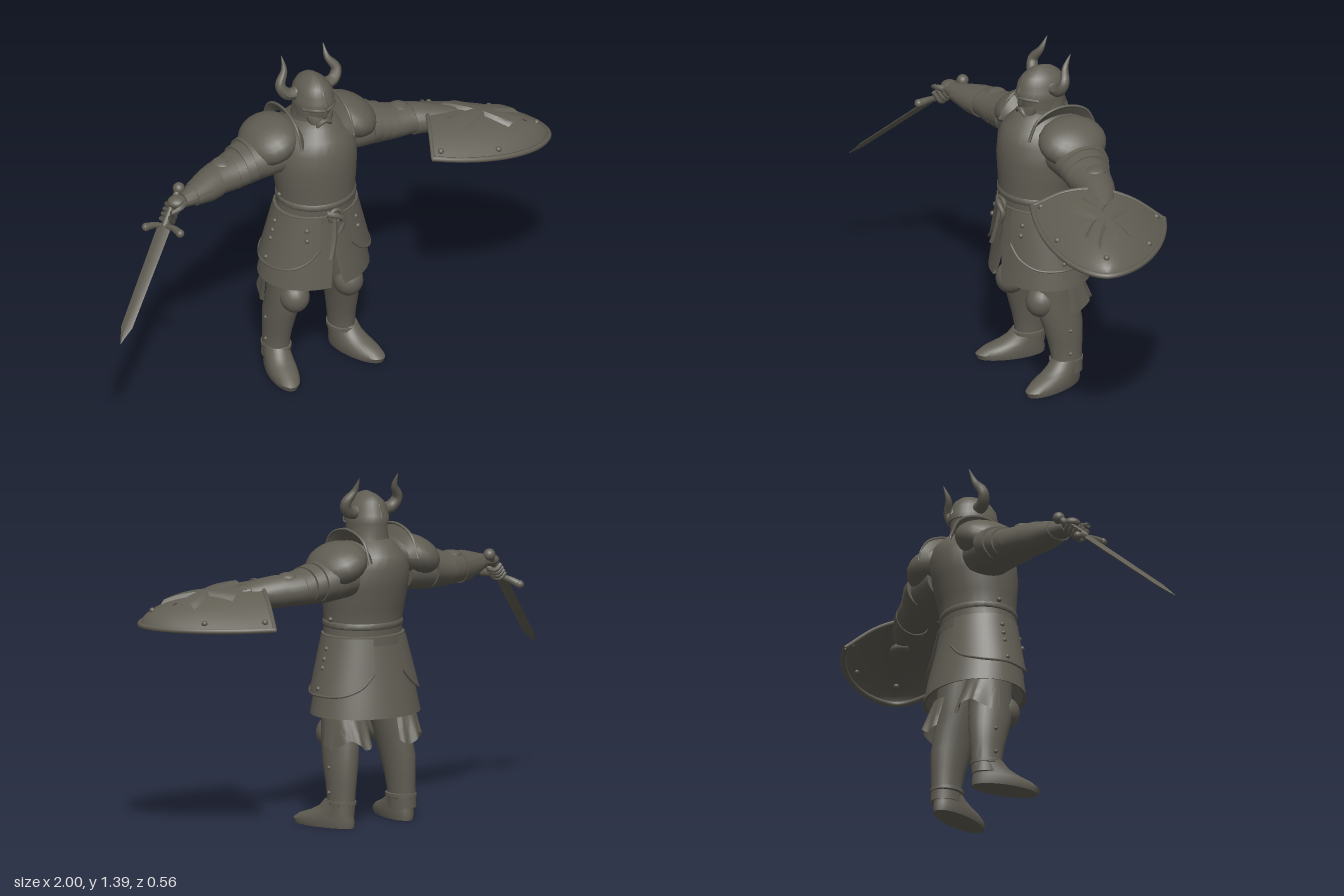
import * as THREE from 'three';
import { toCreasedNormals } from 'three/addons/utils/BufferGeometryUtils.js';

const CX = 0.04; // body centre line
const V = (x, y, z) => new THREE.Vector3(x, y, z);

// Surface from a rule p(u, v) -> [x, y, z]
function sheet(p, nu, nv, crease = 0.7) {
  const pos = [], idx = [];
  for (let i = 0; i <= nu; i++) for (let j = 0; j <= nv; j++) pos.push(...p(i / nu, j / nv));
  for (let i = 0; i < nu; i++) for (let j = 0; j < nv; j++) {
    const a = i * (nv + 1) + j, b = a + nv + 1;
    idx.push(a, b, a + 1, b, b + 1, a + 1);
  }
  const g = new THREE.BufferGeometry();
  g.setAttribute('position', new THREE.Float32BufferAttribute(pos, 3));
  g.setIndex(idx);
  return toCreasedNormals(g, crease);
}

// Elliptical rings [along, c1, c2, r1, r2, gap]; axis y: (c1, along, c2), axis x: (along, c1, c2)
function loft(secs, axis = 'y', n = 28, open = false) {
  const pos = [], idx = [], m = n + (open ? 1 : 0);
  const put = (t, a, b) => (axis === 'y' ? pos.push(a, t, b) : pos.push(t, a, b));
  for (const [t, c1, c2, r1, r2, gap = 0] of secs)
    for (let j = 0; j < m; j++) {
      const a = Math.PI / 2 + gap + (j / n) * (Math.PI * 2 - 2 * gap);
      put(t, c1 + Math.cos(a) * r1, c2 + Math.sin(a) * r2);
    }
  const last = secs.length - 1;
  const flip = (axis === 'x') !== (secs[last][0] < secs[0][0]);
  const tri = (a, b, c) => (flip ? idx.push(a, c, b) : idx.push(a, b, c));
  for (let i = 0; i < last; i++) for (let j = 0; j < n; j++) {
    const k = (j + 1) % m, a = i * m + j, b = i * m + k;
    tri(a, a + m, b); tri(b, a + m, b + m);
  }
  if (!open) {
    put(...secs[0]); put(...secs[last]);
    const c0 = secs.length * m;
    for (let j = 0; j < n; j++) {
      const k = (j + 1) % m;
      tri(c0, j, k); tri(c0 + 1, last * m + k, last * m + j);
    }
  }
  const g = new THREE.BufferGeometry();
  g.setAttribute('position', new THREE.Float32BufferAttribute(pos, 3));
  g.setIndex(idx);
  return toCreasedNormals(g, 0.8);
}

// Tube whose radius follows a rule r(t)
function taper(pts, r, seg = 16, sides = 10) {
  const c = new THREE.CatmullRomCurve3(pts), g = new THREE.TubeGeometry(c, seg, 1, sides), p = g.attributes.position;
  for (let i = 0; i <= seg; i++) {
    const o = c.getPointAt(i / seg), k = r(i / seg);
    for (let j = 0; j <= sides; j++) {
      const q = i * (sides + 1) + j;
      p.setXYZ(q, o.x + (p.getX(q) - o.x) * k, o.y + (p.getY(q) - o.y) * k, o.z + (p.getZ(q) - o.z) * k);
    }
  }
  g.computeVertexNormals();
  return g;
}

export function createModel() {
  const root = new THREE.Group();
  const iron = new THREE.MeshStandardMaterial({ color: 0x605d53, side: THREE.DoubleSide });
  iron.name = 'dark iron';
  const add = (name, g, parent = root) => {
    const m = new THREE.Mesh(g, iron);
    m.name = name;
    parent.add(m);
    return m;
  };
  const ball = (name, x, y, z, a, b = a, c = a, parent = root) => {
    const m = add(name, new THREE.SphereGeometry(1, 20, 14), parent);
    m.position.set(x, y, z); m.scale.set(a, b, c);
    return m;
  };

  // Torso, belt and split skirt
  add('breastplate', loft([[.72, CX, -.035, .165, .14], [.77, CX, -.035, .16, .145], [.80, CX, -.035, .157, .145],
    [.86, CX, -.04, .165, .152], [.95, CX, -.05, .172, .168], [1.03, CX, -.06, .168, .172], [1.08, CX, -.065, .138, .156],
    [1.12, CX, -.065, .095, .115], [1.15, CX, -.06, .06, .075]]));
  add('waistRim', loft([[.78, CX, -.035, .155, .143], [.788, CX, -.035, .163, .15], [.805, CX, -.035, .163, .15], [.813, CX, -.035, .155, .143]]));
  add('belt', loft([[.715, CX, -.036, .16, .14], [.72, CX, -.036, .176, .15], [.755, CX, -.036, .172, .149], [.76, CX, -.036, .155, .14]]));
  add('skirt', loft([[.62, CX, -.045, .15, .13, .05], [.445, CX, -.052, .217, .178, .13], [.44, CX, -.052, .23, .192, .13],
    [.55, CX, -.047, .208, .174, .08], [.65, CX, -.04, .185, .157, .04], [.75, CX, -.035, .165, .145, 0]], 'y', 36, true));
  const buckle = add('buckle', new THREE.TorusGeometry(.026, .009, 8, 20));
  buckle.position.set(CX, .755, .118);
  add('beltTail', sheet((u, v) => [CX - .005 - .03 * u * u + (v - .5) * .024, .75 - .17 * u, .122 + .024 * u + .008 * Math.sin(v * Math.PI)], 8, 4));
  add('beltKnot', taper([V(CX - .035, .77, .112), V(CX, .76, .13), V(CX + .03, .73, .128), V(CX + .01, .68, .13)], t => .013 - .004 * t));

  // Head and beard
  add('face', loft([[1.08, CX, -.065, .055, .07], [1.13, CX, -.06, .06, .077], [1.17, CX, -.058, .068, .086], [1.23, CX, -.058, .07, .088]]));
  add('beard', loft([[1.085, CX, .015, .014, .01], [1.105, CX, .01, .036, .024], [1.14, CX, .003, .053, .03], [1.17, CX, -.004, .06, .024]], 'y', 14));
  add('moustache', taper([V(CX - .038, 1.112, .024), V(CX - .022, 1.14, .033), V(CX, 1.15, .034), V(CX + .022, 1.14, .033), V(CX + .038, 1.112, .024)],
    t => .003 + .008 * Math.sin(t * Math.PI)));
  add('helmet', loft([[1.2, CX, -.058, .074, .094], [1.2, CX, -.058, .08, .103], [1.225, CX, -.058, .08, .103],
    [1.23, CX, -.058, .077, .1], [1.255, CX, -.058, .074, .096], [1.285, CX, -.06, .056, .078], [1.305, CX, -.06, .032, .052], [1.318, CX, -.06, .008, .012]]));
  add('helmetCrest', taper([V(CX, 1.22, .043), V(CX, 1.275, .016), V(CX, 1.312, -.06), V(CX, 1.28, -.13), V(CX, 1.22, -.158)], () => .008));
  add('noseGuard', loft([[1.16, CX, .034, .005, .006], [1.175, CX, .036, .013, .01], [1.22, CX, .036, .009, .01]], 'y', 8));
  add('neckGuard', loft([[1.12, CX, -.07, .085, .09], [1.15, CX, -.068, .075, .085], [1.2, CX, -.064, .072, .09]]));

  for (const s of [-1, 1]) {
    const side = new THREE.Group();
    side.name = s > 0 ? 'leftSide' : 'rightSide';
    root.add(side);
    const X = o => CX + s * o;
    const put = (name, g) => add(name, g, side);
    const dot = (name, o, y, z, a, b, c) => ball(name, X(o), y, z, a, b, c, side);

    put('horn', taper([V(X(.06), 1.24, -.075), V(X(.105), 1.247, -.08), V(X(.127), 1.285, -.092), V(X(.098), 1.335, -.112), V(X(.094), 1.388, -.138)],
      t => .025 * (1 - t * t) + .001, 20));
    dot('hornSocket', .068, 1.242, -.075, .018, .027, .027);
    put('browRidge', taper([V(X(.004), 1.2, .042), V(X(.035), 1.205, .033), V(X(.07), 1.2, -.01)], () => .007, 8));
    put('cheekGuard', sheet((u, v) => {
      const a = -.5 + 1.25 * u;
      return [X(Math.cos(a) * .074), 1.21 - v * (.075 - .03 * u), -.058 + Math.sin(a) * .094];
    }, 8, 4));

    // Shoulder plates
    dot('pauldron', .178, 1.052, -.1, .118, .08, .14).rotation.z = -s * .42;
    put('shoulderFin', sheet((u, v) => [X(.09 + .028 * v), 1.06 + .12 * Math.sin(Math.PI * u) * (.6 + .4 * v), -.088 - .15 * Math.cos(Math.PI * u) * (.85 + .15 * v)], 20, 3));
    put('shoulderFinEdge', taper([0, .25, .5, .75, 1].map(u => V(X(.118), 1.06 + .12 * Math.sin(Math.PI * u), -.088 - .15 * Math.cos(Math.PI * u))), () => .006, 24, 6));
    for (let i = 0; i < 3; i++) {
      const o = .245 + i * .038, r = .92 - i * .075, y = .995 - i * .008, z = -.1 + i * .009;
      put('shoulderLame', loft([[X(o), y, z, .07 * r, .09 * r], [X(o), y, z, .092 * r, .122 * r],
        [X(o + .045), y - .006, z + .005, .086 * r, .116 * r], [X(o + .045), y - .006, z + .005, .06 * r, .08 * r]], 'x'));
    }

    // Arm with elbow cop and bracer
    put('arm', loft([[X(.13), .995, -.09, .08, .1], [X(.25), .985, -.095, .08, .1], [X(.36), .972, -.078, .068, .088],
      [X(.42), .968, -.07, .063, .077], [X(.47), .965, -.055, .059, .068], [X(.54), .963, -.03, .046, .058], [X(.62), .962, -.005, .026, .036]], 'x'));
    put('bracer', loft([[X(.44), .966, -.064, .05, .06], [X(.44), .966, -.064, .065, .077], [X(.49), .963, -.047, .061, .073],
      [X(.57), .962, -.02, .04, .056], [X(.57), .962, -.02, .03, .04]], 'x'));
    dot('elbowCop', .40, 1.02, -.078, .042, .02, .042);

    // Side tasset with rounded lower edge
    put('tasset', sheet((u, v) => {
      const k = 2 * u - 1, a = k * 1.22, y = .75 - v * (.225 - .09 * Math.abs(k) ** 4), f = (.75 - y) / .22;
      return [X(Math.cos(a) * (.172 + .058 * f)), y, -.038 - .008 * f + Math.sin(a) * (.152 + .034 * f)];
    }, 24, 8));
    put('tassetEdge', taper([-1, -.8, -.5, 0, .5, .8, 1].map(k => {
      const y = .525 + .09 * k ** 4, f = (.75 - y) / .22;
      return V(X(Math.cos(k * 1.22) * (.172 + .058 * f)), y, -.038 - .008 * f + Math.sin(k * 1.22) * (.152 + .034 * f));
    }), () => .005, 30, 6));
    for (const [o, y, z] of [[.162, .82, -.04], [.182, .705, -.04], [.192, .665, -.04], [.2, .63, -.04], [.222, .55, -.04], [.11, .7, .085], [.115, .66, .095]])
      dot('rivet', o, y, z, .01);

    // Leg, knee guard, boot and loose trouser cloth
    put('leg', loft([[.05, X(.152), -.088, .052, .066], [.12, X(.148), -.09, .051, .064], [.18, X(.145), -.085, .055, .072], [.26, X(.14), -.075, .062, .085],
      [.33, X(.13), -.06, .064, .092], [.40, X(.12), -.055, .074, .09], [.5, X(.112), -.055, .08, .09], [.6, X(.1), -.05, .08, .09]]));
    const knee = dot('kneeGuard', .122, .36, .008, .06, .066, .062);
    knee.rotation.x = -.3;
    put('ankleStrap', loft([[.088, X(.148), -.088, .05, .06], [.091, X(.148), -.088, .057, .07], [.105, X(.148), -.088, .057, .07], [.108, X(.148), -.088, .05, .06]]));
    for (const y of [.14, .24]) dot('bootRivet', .2, y, -.08, .008);
    put('trouserCloth', sheet((u, v) => {
      const a = -.55 + 2.1 * u;
      return [X(.12 + Math.sin(a) * (.082 + .014 * v)), .47 - v * (.135 + .02 * Math.sin(u * 9)), -.065 - Math.cos(a) * (.09 + .05 * v) - .008 * Math.sin(u * 22) * v];
    }, 24, 6));
    const foot = new THREE.Group();
    foot.name = 'foot';
    foot.position.set(X(.152), 0, -.087);
    foot.rotation.y = s * (s > 0 ? .3 : .2);
    side.add(foot);
    add('boot', loft([[0, 0, .073, .054, .137], [.02, 0, .076, .059, .142], [.04, 0, .063, .057, .126], [.06, 0, .035, .054, .096],
      [.08, 0, .014, .052, .078], [.11, 0, 0, .05, .064]]), foot);
  }

  // Sword, built along +y with the guard at its origin
  const sword = new THREE.Group();
  sword.name = 'sword';
  const dir = V(-.43, -.44, .275).normalize(), wide = V(.07, .0376, .17).normalize();
  wide.addScaledVector(dir, -wide.dot(dir)).normalize();
  sword.quaternion.setFromRotationMatrix(new THREE.Matrix4().makeBasis(wide, dir, wide.clone().cross(dir)));
  sword.position.set(-.68, .884, .02);
  root.add(sword);
  add('blade', loft([[0, 0, 0, .034, .011], [.43, 0, 0, .028, .009], [.502, 0, 0, .001, .001]], 'y', 4), sword);
  add('grip', new THREE.CylinderGeometry(.014, .014, .16, 12).translate(0, -.08, 0), sword);
  add('guard', taper([V(-.085, .015, 0), V(-.045, 0, 0), V(.045, 0, 0), V(.085, .015, 0)], t => .01 + .006 * Math.abs(2 * t - 1), 14, 8), sword);
  for (const k of [-1, 1]) ball('guardEnd', k * .085, .015, 0, .017, .017, .017, sword);
  ball('pommel', 0, -.165, 0, .024, .024, .024, sword);

  // Hands: right curls round the grip, left holds under the shield
  ball('rightPalm', -.605, .962, -.008, .04, .024, .036);
  for (let i = 0; i < 4; i++) {
    const y = -.035 - i * .021;
    add('finger', taper([V(.03, y, -.018), V(.012, y + .004, .024), V(-.018, y + .006, .022), V(-.026, y + .004, -.01)], t => .0125 - .003 * t, 10, 7), sword);
  }
  add('thumb', taper([V(-.59, .965, .025), V(-.62, .965, .045), V(-.655, .95, .04)], t => .013 - .004 * t, 8, 7));
  ball('leftPalm', .69, .935, .005, .045, .024, .034);

  // Domed shield: u runs from the straight edge to the tip, k across from -1 to 1
  const shieldAt = (u, k, lift = 0) => {
    const a = u * .483, w = .258 * Math.pow(Math.max(0, 1 - u * u), .58) * k;
    const y = .855 + (1 - u) * (.043 + .037 * k) + .1 * Math.sqrt(Math.max(0, 1 - u ** 3)) * (1 - k * k);
    return [.543 + .91 * a - .415 * w, y + lift, -.035 + .415 * a + .91 * w];
  };
  add('shield', sheet((u, v) => shieldAt(Math.sin(u * Math.PI / 2), 2 * v - 1), 20, 20));
  const rim = [];
  for (let i = 0; i <= 10; i++) rim.push(V(...shieldAt(Math.sin(i / 10 * Math.PI / 2), 1)));
  for (let i = 9; i >= 0; i--) rim.push(V(...shieldAt(Math.sin(i / 10 * Math.PI / 2), -1)));
  add('shieldRim', taper(rim, () => .011, 60, 8));
  add('shieldTopRim', taper([-1, -.5, 0, .5, 1].map(k => V(...shieldAt(0, k))), () => .008, 20, 8));
  for (const [u, k] of [[.07, .88], [.07, -.88], [.9, 0], [.55, .86], [.55, -.86]]) ball('shieldRivet', ...shieldAt(u, k), .012);

  // Raised crossed ornament on the shield face
  for (const [u0, k0, u1, k1] of [[.2, -.3, .74, .28], [.22, .38, .68, -.4]])
    add('shieldOrnament', sheet((t, v) => {
      const h = (v - .5) * (.1 + .07 * Math.abs(2 * t - 1)), lift = .014 * Math.min(1, 5 * Math.min(v, 1 - v)) - .001;
      return shieldAt(u0 + (u1 - u0) * t - h * Math.sign(k1 - k0), k0 + (k1 - k0) * t + h * 1.6, lift);
    }, 12, 10));

  return root;
}
